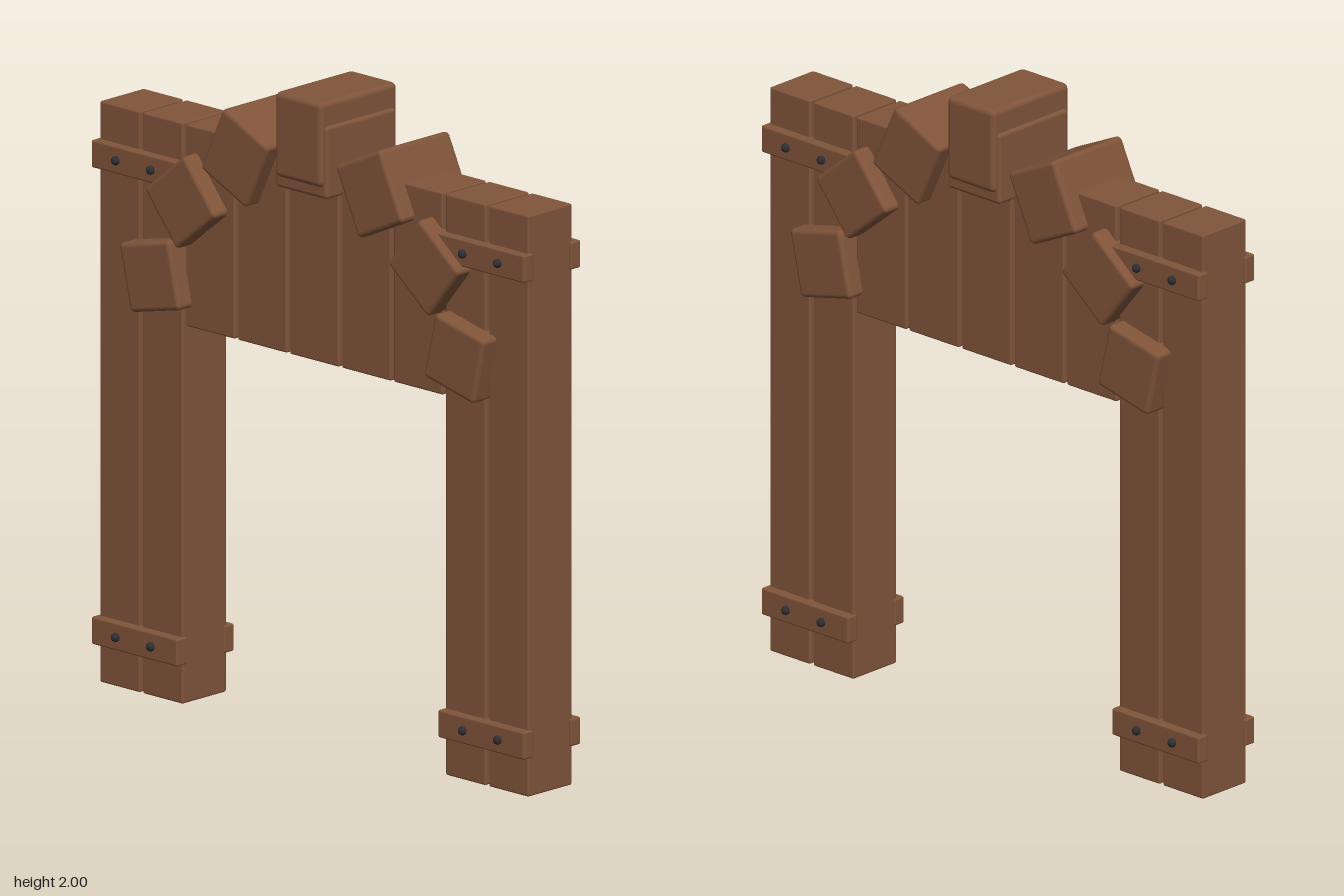
import * as THREE from 'three';
import { RoundedBoxGeometry } from 'three/addons/geometries/RoundedBoxGeometry.js';

export function createModel() {
  const group = new THREE.Group();
  const wood = new THREE.MeshStandardMaterial({ color: 0x80543a });
  wood.name = 'brown wood';
  const iron = new THREE.MeshStandardMaterial({ color: 0x2e2e33 });
  iron.name = 'dark iron';

  // Box with softened edges
  const block = (name, w, h, d, x, y, z, bevel, angle = 0) => {
    const mesh = new THREE.Mesh(new RoundedBoxGeometry(w, h, d, 2, bevel), wood);
    mesh.name = name;
    mesh.position.set(x, y, z);
    mesh.rotation.z = THREE.MathUtils.degToRad(angle);
    group.add(mesh);
  };

  // Hanging planks across the top
  for (let i = -2; i <= 2; i++) {
    block('lintelPlank', 0.203, 0.625, 0.188, i * 0.215, 1.4845, 0, 0.006);
  }

  // Arch blocks on one side: width, height, x, y, tilt in degrees
  const archBlocks = [
    [0.212, 0.212, 0.63, 1.315, -13],
    [0.215, 0.212, 0.503, 1.57, -39],
    [0.208, 0.228, 0.279, 1.753, 25],
  ];
  const rivetGeometry = new THREE.SphereGeometry(0.014, 12, 8);

  for (const side of [-1, 1]) {
    // Pair of upright boards forming each post
    for (const x of [0.804, 0.626]) {
      block('postBoard', 0.165, 1.797, 0.188, side * x, 0.8985, 0, 0.006);
    }

    for (const [w, h, x, y, tilt] of archBlocks) {
      block('archBlock', w, h, 0.3, side * x, y, 0, 0.015, side * tilt);
    }

    // Cross battens with rivets, front and back
    for (const y of [0.164, 1.638]) {
      for (const face of [-1, 1]) {
        block('batten', 0.356, 0.085, 0.042, side * 0.717, y, face * 0.101, 0.006);
        for (const x of [0.645, 0.79]) {
          const rivet = new THREE.Mesh(rivetGeometry, iron);
          rivet.name = 'rivet';
          rivet.position.set(side * x, y, face * 0.126);
          group.add(rivet);
        }
      }
    }
  }

  // Keystone: wider core with a taller, deeper cap
  block('keystoneCore', 0.214, 0.225, 0.3, 0, 1.8125, 0, 0.012);
  block('keystoneCap', 0.194, 0.264, 0.33, 0, 1.868, 0, 0.018);

  return group;
}
